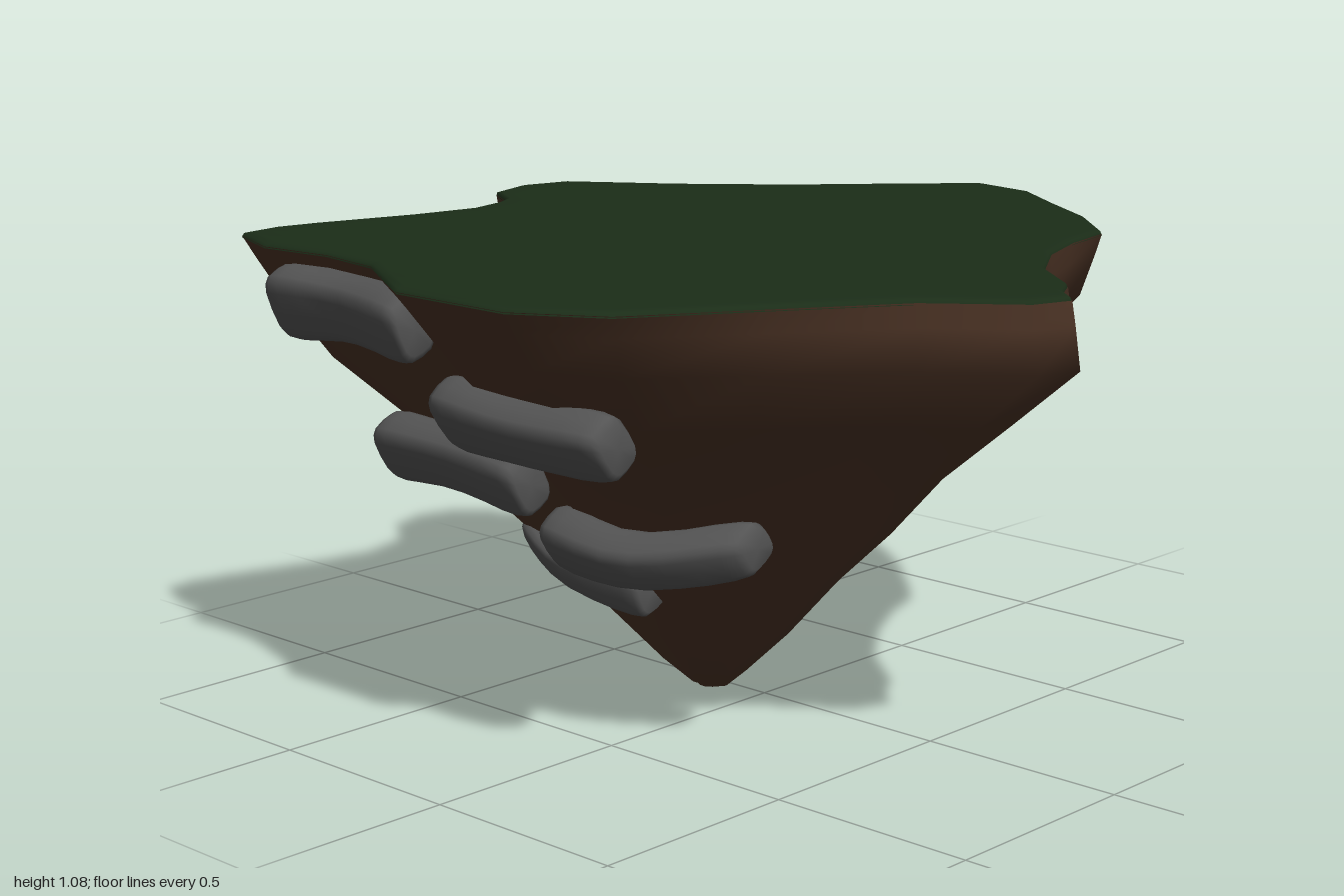
import * as THREE from 'three';

const TIP = { x: -0.12, z: 0.05 };

// Island outline (x, z), clockwise from above, starting at the back
const OUTLINE = [
  [-0.16, -1], [0, -0.97], [0.17, -0.85], [0.35, -0.73], [0.51, -0.58], [0.54, -0.43],
  [0.6, -0.27], [0.71, -0.1], [0.86, 0.02], [0.9, 0.09], [0.96, 0.14], [0.93, 0.23],
  [0.75, 0.37], [0.58, 0.62], [0.41, 0.88], [0.22, 0.99], [-0.1, 0.99], [-0.22, 0.92],
  [-0.37, 0.83], [-0.56, 0.8], [-0.75, 0.82], [-0.91, 0.76], [-0.92, 0.68], [-0.9, 0.58],
  [-0.83, 0.34], [-0.8, 0.17], [-0.83, 0.05], [-0.86, 0], [-0.96, -0.06], [-1, -0.18],
  [-0.97, -0.3], [-0.73, -0.46], [-0.5, -0.65], [-0.31, -0.85],
];

// Rock levels: height, then radial scale towards right, left, front/back
const LEVELS = [
  [0, 0, 0, 0], [0.015, 0.045, 0.045, 0.045], [0.07, 0.11, 0.11, 0.105],
  [0.19, 0.24, 0.23, 0.21], [0.35, 0.39, 0.385, 0.34], [0.49, 0.54, 0.55, 0.45],
  [0.64, 0.68, 0.69, 0.585], [0.79, 0.86, 0.88, 0.735], [0.93, 1.025, 0.955, 0.87],
  [1.02, 1.01, 0.985, 0.955], [1.07, 1, 1, 1],
];

// Joins rings of equal length into a skin, smooth along and around
function loft(rings) {
  const n = rings[0].length;
  const index = [];
  for (let j = 0; j < rings.length - 1; j++) {
    for (let i = 0; i < n; i++) {
      const a = j * n + i, b = j * n + (i + 1) % n;
      index.push(a, a + n, b, b, a + n, b + n);
    }
  }
  const geometry = new THREE.BufferGeometry();
  geometry.setAttribute('position', new THREE.Float32BufferAttribute(rings.flat(2), 3));
  geometry.setIndex(index);
  geometry.computeVertexNormals();
  return geometry;
}

// Outline scaled about the tip, blended by direction
function islandRing([y, right, left, depth]) {
  return OUTLINE.map(([x, z]) => {
    const dx = x - TIP.x, dz = z - TIP.z;
    const across = dx * dx / (dx * dx + dz * dz);
    const s = THREE.MathUtils.lerp(depth, dx > 0 ? right : left, across);
    return [TIP.x + dx * s, y, TIP.z + dz * s];
  });
}

// Long rounded stone swept along a bent path, its section leaning with the slope
function stoneGeometry({ path, height, thick, lean }) {
  const curve = new THREE.CatmullRomCurve3(path.map((p) => new THREE.Vector3(...p)));
  const stops = [0, 0, 0.012, 0.05, 0.12, 0.25, 0.4, 0.55, 0.7, 0.82, 0.92, 0.975, 1, 1];
  const ends = [0, 0.72, 0.9, 1, 1.04, 1, 0.95, 0.95, 0.98, 1.02, 1, 0.92, 0.72, 0];
  const boxy = (v) => Math.sign(v) * Math.pow(Math.abs(v), 0.6);
  return loft(stops.map((t, j) => {
    const c = curve.getPoint(t);
    const h = THREE.MathUtils.lerp(height[0], height[1], t) * ends[j];
    const d = thick * ends[j];
    return Array.from({ length: 16 }, (_, i) => {
      const a = i / 16 * Math.PI * 2;
      const u = boxy(Math.cos(a)) * h, v = -boxy(Math.sin(a)) * d;
      return [
        c.x,
        c.y + u * Math.cos(lean) - v * Math.sin(lean),
        c.z + u * Math.sin(lean) + v * Math.cos(lean),
      ];
    });
  }));
}

const STONES = [
  { path: [[-0.73, 0.95, 0.78], [-0.48, 0.96, 0.79], [-0.2, 0.96, 0.86]], height: [0.085, 0.075], thick: 0.055, lean: 0.4 },
  { path: [[-0.22, 0.77, 0.75], [0.04, 0.765, 0.78], [0.31, 0.77, 0.77]], height: [0.08, 0.07], thick: 0.055, lean: 0.6 },
  { path: [[-0.63, 0.6, 0.57], [-0.37, 0.61, 0.6], [-0.1, 0.6, 0.63]], height: [0.075, 0.075], thick: 0.055, lean: 0.5 },
  { path: [[-0.17, 0.45, 0.49], [0.1, 0.445, 0.51], [0.36, 0.5, 0.41]], height: [0.07, 0.055], thick: 0.055, lean: 0.6 },
  { path: [[-0.46, 0.39, 0.29], [-0.27, 0.34, 0.36], [-0.01, 0.32, 0.36]], height: [0.03, 0.06], thick: 0.05, lean: 0.4 },
];

export function createModel() {
  const group = new THREE.Group();
  const add = (name, geometry, color) => {
    const mesh = new THREE.Mesh(geometry, new THREE.MeshStandardMaterial({ color }));
    mesh.name = name;
    group.add(mesh);
  };

  // Tapering earth body
  add('earth', loft(LEVELS.map(islandRing)), 0x4a3224);

  // Thin grass sheet with a softened rim
  const grassLevels = [[1.066, 1], [1.076, 0.995], [1.08, 0.975], [1.08, 0.9], [1.08, 0]];
  add('grass', loft(grassLevels.map(([y, s]) => islandRing([y, s, s, s]))), 0x1b2d18);

  // Stepping stones set into the front slope
  STONES.forEach((stone, i) => add(`stone${i + 1}`, stoneGeometry(stone), 0x545454));

  return group;
}
